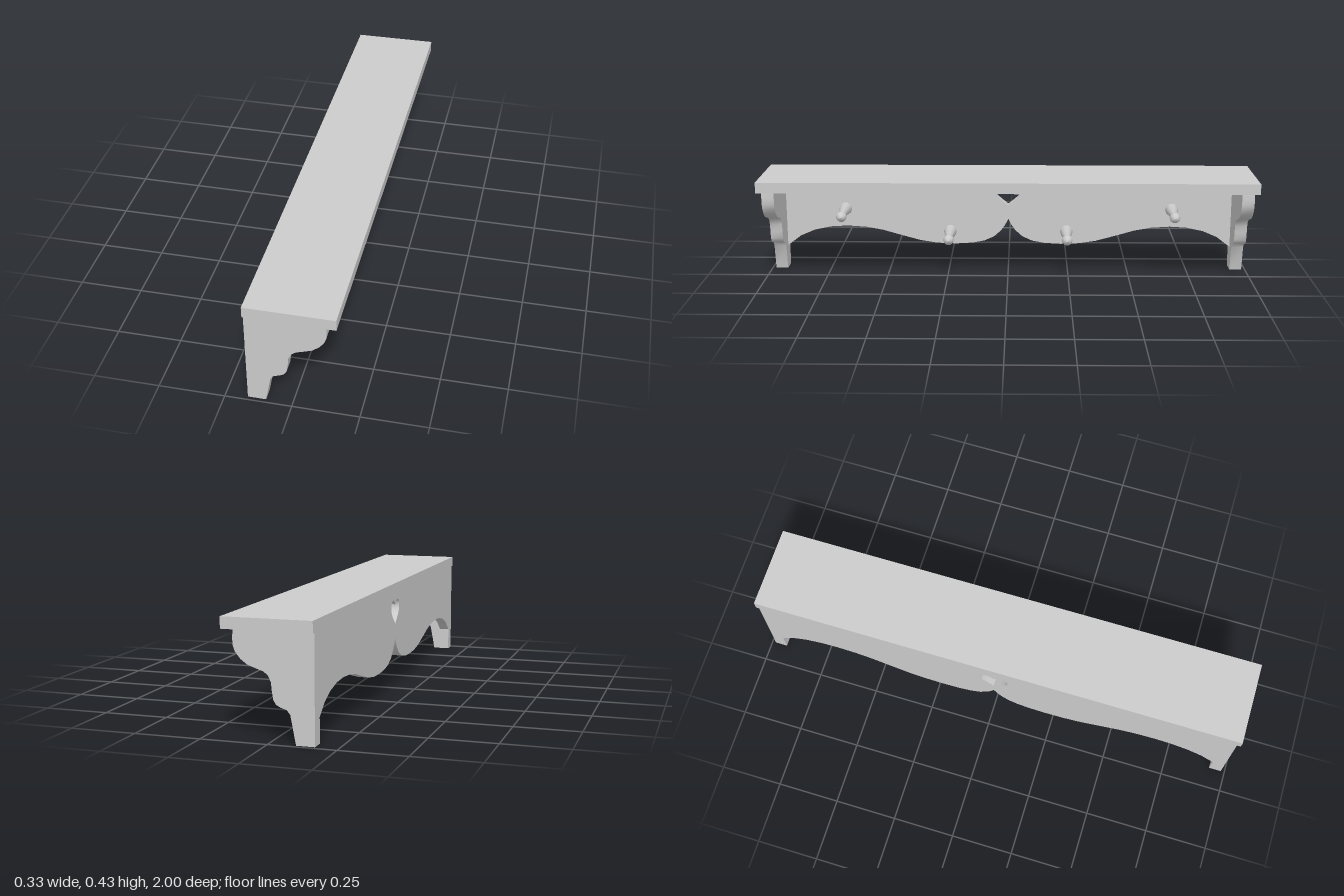
import * as THREE from 'three';
import { toCreasedNormals } from 'three/addons/utils/BufferGeometryUtils.js';

const BACK = -0.167;      // rear plane of the shelf
const PANEL = 0.042;      // back panel thickness
const UNDER = 0.391;      // underside of the top board
const INNER = 0.935;      // inner face of each bracket
const BRACKET = 0.05;     // bracket thickness

const material = new THREE.MeshStandardMaterial({ color: 0xcccccc });
const pts = (list) => list.map(([x, y]) => new THREE.Vector2(x, y));

function extrude(shape, depth) {
  const g = new THREE.ExtrudeGeometry(shape, { depth, bevelEnabled: false, curveSegments: 8 });
  return toCreasedNormals(g, 0.6);
}

export function createModel() {
  const group = new THREE.Group();
  const add = (name, geometry, x = 0, y = 0, z = 0) => {
    const mesh = new THREE.Mesh(geometry, material);
    mesh.name = name;
    mesh.position.set(x, y, z);
    group.add(mesh);
    return mesh;
  };

  // Top board
  add('topBoard', new THREE.BoxGeometry(0.334, 0.434 - UNDER, 2), 0, (0.434 + UNDER) / 2, 0);

  // Scalloped side brackets
  const bracket = new THREE.Shape(pts([
    [BACK, 0], [-0.099, 0], [-0.079, 0.105], [-0.067, 0.121], [-0.045, 0.128], [-0.028, 0.137],
    [-0.018, 0.153], [-0.013, 0.185], [-0.01, 0.215], [0.001, 0.238], [0.018, 0.25],
    [0.048, 0.26], [0.076, 0.27], [0.1, 0.288], [0.12, 0.312], [0.128, 0.335],
    [0.129, 0.36], [0.127, UNDER], [BACK, UNDER],
  ]));
  const bracketGeometry = extrude(bracket, BRACKET);
  add('leftBracket', bracketGeometry, 0, 0, -INNER - BRACKET);
  add('rightBracket', bracketGeometry, 0, 0, INNER);

  // Back panel: mirrored wavy lower edge with a central cusp
  const wave = [
    [0.012, 0.188], [0.03, 0.162], [0.06, 0.135], [0.1, 0.117], [0.15, 0.107], [0.22, 0.103],
    [0.3, 0.106], [0.37, 0.117], [0.45, 0.139], [0.53, 0.162], [0.6, 0.175], [0.68, 0.18],
    [0.75, 0.176], [0.82, 0.161], [0.88, 0.135], [INNER, 0.093],
  ];
  const mirrored = wave.map(([z, y]) => [-z, y]).reverse();
  const panel = new THREE.Shape(pts([
    ...mirrored, [0, 0.212], ...wave, [INNER, UNDER], [-INNER, UNDER],
  ]));

  // Heart cut-out
  const heart = new THREE.Path();
  heart.moveTo(0, 0.268);
  heart.bezierCurveTo(-0.025, 0.29, -0.058, 0.308, -0.058, 0.338);
  heart.bezierCurveTo(-0.058, 0.372, -0.012, 0.374, 0, 0.347);
  heart.bezierCurveTo(0.012, 0.374, 0.058, 0.372, 0.058, 0.338);
  heart.bezierCurveTo(0.058, 0.308, 0.025, 0.29, 0, 0.268);
  panel.holes.push(heart);
  add('backPanel', extrude(panel, PANEL).rotateY(Math.PI / 2), BACK);

  // Turned pegs: tapered shaft with a knob, pointing forward
  const pegGeometry = new THREE.LatheGeometry(pts([
    [0.027, 0], [0.013, 0.108], [0.021, 0.125], [0.022, 0.137], [0.014, 0.152], [0, 0.158],
  ]), 10).rotateZ(-Math.PI / 2);
  for (const [z, y] of [[0.685, 0.254], [0.245, 0.157]]) {
    for (const side of [-1, 1]) add('peg', pegGeometry, BACK + PANEL, y, side * z);
  }
  return group;
}
